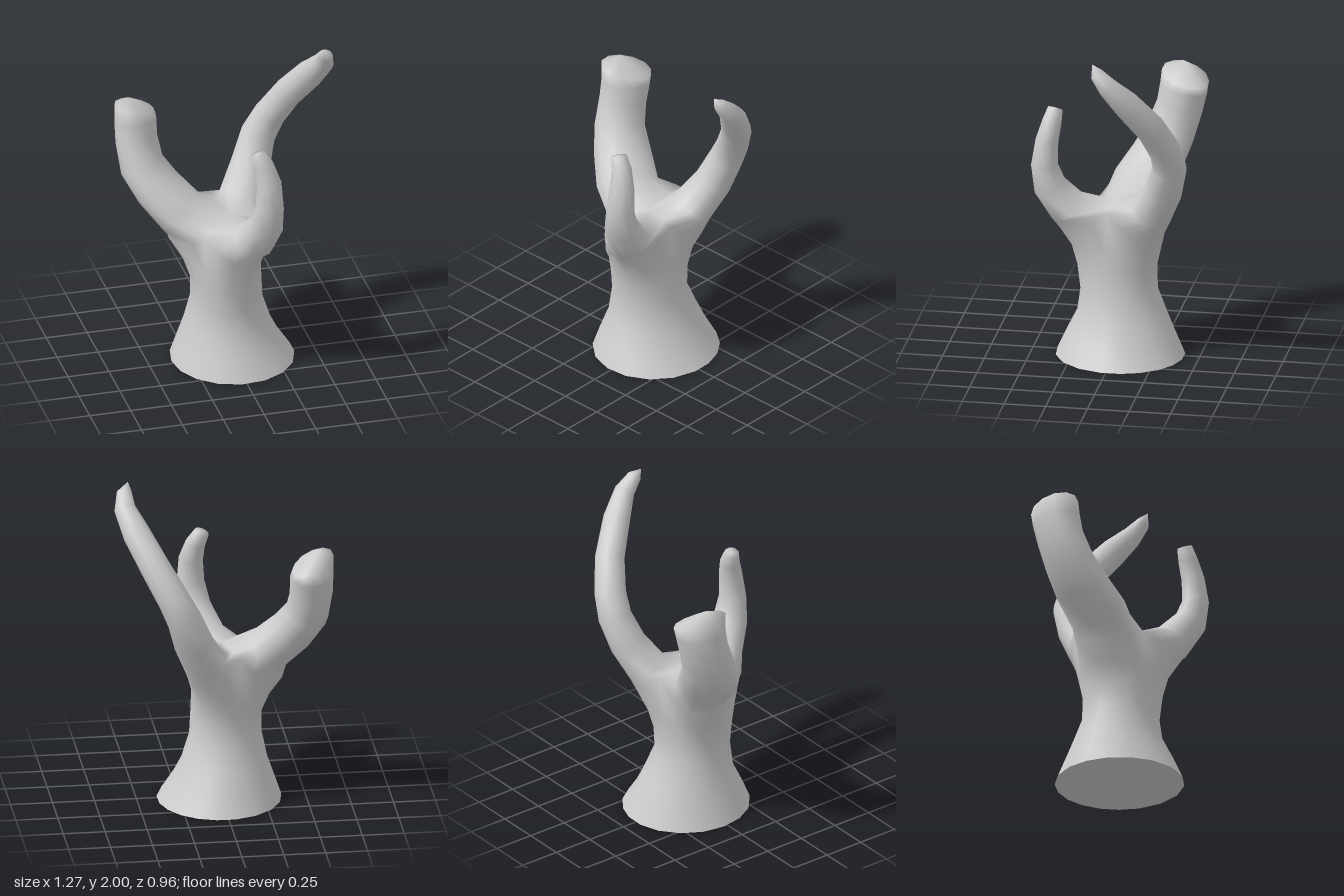
import * as THREE from 'three';
import { mergeVertices } from 'three/addons/utils/BufferGeometryUtils.js';

const material = new THREE.MeshStandardMaterial({ color: 0xcccccc });
const rad = THREE.MathUtils.degToRad;
const ARC = 6; // trunk segments that run into each branch

// Each branch owns the trunk arc from its start angle to the next branch's start angle.
// start: angle of the saddle before it, saddleY: height of that saddle, lobe: angle of its swelling,
// side: sideways axis, tilt: slant of the cut end,
// sections: x, y, z, radius outward, radius sideways
const branches = [
  { // long branch rising from the back and arching forward
    start: -8, saddleY: 0.93, lobe: 60, side: [-0.87, 0, -0.45], tilt: 0, tip: [0.545, 2.0, 0.05],
    sections: [
      [0.12, 0.94, -0.23, 0.125, 0.135], [0.20, 1.10, -0.315, 0.11, 0.12], [0.26, 1.27, -0.365, 0.1, 0.105],
      [0.325, 1.40, -0.35, 0.095, 0.095], [0.42, 1.57, -0.28, 0.09, 0.09], [0.52, 1.75, -0.15, 0.08, 0.085],
      [0.575, 1.87, -0.05, 0.06, 0.065], [0.57, 1.95, 0.02, 0.04, 0.045]
    ]
  },
  { // thick branch with a slanted end
    start: 98, saddleY: 0.97, lobe: 151, side: [-0.48, 0, 0.87], tilt: -0.35, tip: [-0.55, 1.655, -0.31],
    sections: [
      [-0.29, 0.97, -0.10, 0.14, 0.19], [-0.405, 1.10, -0.18, 0.135, 0.175], [-0.485, 1.23, -0.24, 0.13, 0.155],
      [-0.505, 1.38, -0.29, 0.125, 0.145], [-0.505, 1.50, -0.315, 0.125, 0.15], [-0.51, 1.58, -0.325, 0.115, 0.155]
    ]
  },
  { // short branch curling up at the front
    start: 220, saddleY: 0.88, lobe: 279, side: [0.99, 0, -0.15], tilt: -0.1, tip: [0.065, 1.54, 0.355],
    sections: [
      [0.065, 0.92, 0.28, 0.12, 0.13], [0.11, 1.06, 0.38, 0.1, 0.105], [0.125, 1.20, 0.41, 0.08, 0.085],
      [0.125, 1.35, 0.395, 0.068, 0.075], [0.10, 1.46, 0.37, 0.058, 0.06], [0.065, 1.535, 0.355, 0.045, 0.047]
    ]
  }
];

// Point on the trunk; lobes swell the radius towards the branches
function trunkPoint([y, cx, cz, rx, rz, ...lobes], angle) {
  const extra = lobes.reduce((sum, l, i) =>
    sum + l * Math.max(0, Math.cos(angle - rad(branches[i].lobe))) ** 4, 0);
  return new THREE.Vector3(cx + Math.cos(angle) * (rx + extra), y, cz - Math.sin(angle) * (rz + extra));
}

// Cross-sections along a branch, starting at its outermost trunk vertex
function branchRings({ sections, side, tilt }, sides) {
  const curve = new THREE.CatmullRomCurve3(sections.map(s => new THREE.Vector3(s[0], s[1], s[2])));
  const last = sections.length - 1;
  return sections.map(([x, y, z, ru, rv], i) => {
    const c = new THREE.Vector3(x, y, z), t = curve.getTangent(i / last);
    const v = new THREE.Vector3(...side);
    v.addScaledVector(t, -t.dot(v)).normalize();
    const u = v.clone().cross(t);
    return Array.from({ length: sides }, (_, j) => {
      const a = (j - ARC / 2) / sides * Math.PI * 2;
      const p = c.clone().addScaledVector(u, Math.cos(a) * ru).addScaledVector(v, Math.sin(a) * rv);
      if (i === last) p.y += tilt * (p.x - x);
      return p;
    });
  });
}

export function createModel() {
  const group = new THREE.Group();
  group.name = 'treeStump';
  const points = [];
  const fan = (ring, tip) => ring.forEach((p, j) => points.push(p, ring[(j + 1) % ring.length], tip));
  const skin = rings => {
    for (let i = 0; i < rings.length - 1; i++) {
      rings[i].forEach((a, j) => {
        const k = (j + 1) % rings[i].length, b = rings[i][k], c = rings[i + 1][j], d = rings[i + 1][k];
        points.push(a, b, c, b, d, c);
      });
    }
  };

  // Flared trunk: y, centre x, centre z, radius x, radius z, three lobe sizes
  const trunkSections = [
    [0.00, 0.01, -0.025, 0.37, 0.385, 0, 0, 0],
    [0.12, -0.01, -0.025, 0.31, 0.33, 0, 0, 0],
    [0.25, -0.02, -0.03, 0.255, 0.27, 0, 0, 0],
    [0.40, -0.03, -0.01, 0.215, 0.23, 0, 0, 0],
    [0.55, -0.035, 0, 0.21, 0.23, 0.02, 0, 0.01],
    [0.67, -0.04, 0, 0.21, 0.225, 0.06, 0.05, 0.05]
  ];
  const arcs = branches.map((b, i) => {
    const next = branches[(i + 1) % 3];
    const end = i === 2 ? next.start + 360 : next.start;
    return Array.from({ length: ARC + 1 }, (_, j) => ({
      angle: rad(THREE.MathUtils.lerp(b.start, end, j / ARC)),
      rimY: THREE.MathUtils.lerp(THREE.MathUtils.lerp(b.saddleY, next.saddleY, j / ARC), 0.78,
        Math.sin(j / ARC * Math.PI))
    }));
  });
  const rimArcs = arcs.map(arc => arc.map(s =>
    trunkPoint([s.rimY, -0.035, 0, 0.215, 0.225, 0.12, 0.13, 0.12], s.angle)));
  const stations = arcs.flatMap(arc => arc.slice(0, ARC));
  const trunkRings = trunkSections.map(s => stations.map(st => trunkPoint(s, st.angle)));
  skin([...trunkRings, rimArcs.flatMap(arc => arc.slice(0, ARC))]);

  // Branches: each starts from its trunk arc closed across the crotch
  const crotch = new THREE.Vector3(-0.01, 0.965, 0.02);
  branches.forEach((b, i) => {
    const arc = rimArcs[i], towards = (p, f) => p.clone().lerp(crotch, f);
    const loop = [...arc, towards(arc[ARC], 1 / 3), towards(arc[ARC], 2 / 3), crotch,
      towards(arc[0], 2 / 3), towards(arc[0], 1 / 3)];
    const rings = branchRings(b, loop.length);
    skin([loop, ...rings]);
    fan(rings[rings.length - 1], new THREE.Vector3(...b.tip));
  });

  // One welded skin so trunk and branches flow together
  const geometry = mergeVertices(new THREE.BufferGeometry().setFromPoints(points), 1e-4);
  geometry.computeVertexNormals();
  const body = new THREE.Mesh(geometry, material);
  body.name = 'trunkAndBranches';

  // Flat underside with a crisp rim
  const underside = new THREE.Mesh(new THREE.CircleGeometry(1, stations.length), material);
  underside.name = 'underside';
  const disc = underside.geometry.attributes.position;
  disc.setXYZ(0, 0.01, 0, -0.025);
  for (let j = 0; j <= stations.length; j++) {
    const p = trunkRings[0][(stations.length - j) % stations.length];
    disc.setXYZ(j + 1, p.x, p.y, p.z);
  }
  underside.geometry.computeVertexNormals();
  group.add(body, underside);
  return group;
}
